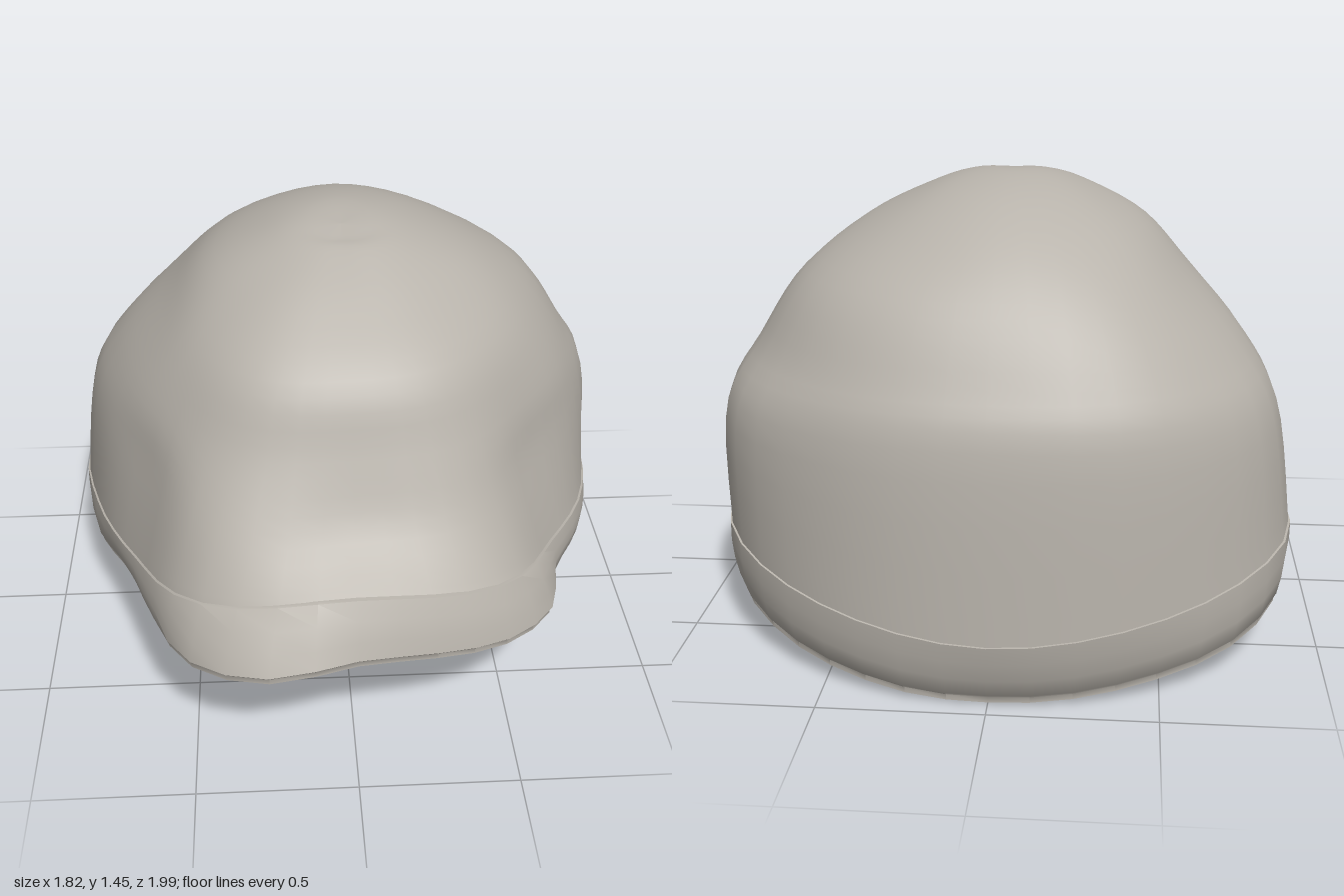
import * as THREE from 'three';
import { toCreasedNormals } from 'three/addons/utils/BufferGeometryUtils.js';

const COLS = 48;
const WALL = 0.022;

// Evenly spaced values around the cap, starting at the front and turning towards +x
const RIM = [0.955, 0.94, 0.94, 0.9, 0.8, 0.81, 0.86, 0.92, 0.98, 0.99, 0.98, 0.965,
  0.945, 0.965, 0.99, 1.02, 1.0, 0.92, 0.85, 0.79, 0.8, 0.88, 1.0, 1.03];
const RIM_Y = [0.435, 0.38, 0.32, 0.24, 0.15, 0.05, 0.0, 0.05, 0.15, 0.24, 0.32, 0.38];
const SEAM = [0.88, 0.88, 0.78, 0.86, 1.0, 1.01, 1.0, 1.03, 1.02, 0.85, 0.8, 0.92];
const SEAM_Y = [0.63, 0.57, 0.46, 0.41, 0.36, 0.27, 0.21, 0.27, 0.36, 0.41, 0.46, 0.57];

// Crown rings; lean raises the back of a ring and lowers its front
const CROWN = [
  { y: 0.75, lean: 0, r: [0.72, 0.74, 0.68, 0.8, 0.99, 0.985, 0.965, 1.0, 0.96, 0.8, 0.72, 0.81] },
  { y: 0.95, lean: 0, r: [0.62, 0.64, 0.64, 0.74, 0.87, 0.91, 0.89, 0.92, 0.84, 0.72, 0.67, 0.68] },
  { y: 1.15, lean: 0, r: [0.53, 0.54, 0.55, 0.61, 0.73, 0.79, 0.77, 0.76, 0.64, 0.56, 0.55, 0.57] },
  { y: 1.3, lean: 0, r: [0.33, 0.34, 0.37, 0.44, 0.51, 0.58, 0.61, 0.57, 0.48, 0.42, 0.38, 0.37] },
  { y: 1.4, lean: 0, r: [0.14, 0.16, 0.19, 0.23, 0.29, 0.37, 0.41, 0.36, 0.28, 0.23, 0.19, 0.16] },
  { y: 1.433, lean: 0.016, r: [0.07, 0.08, 0.09, 0.11, 0.13, 0.16, 0.18, 0.16, 0.13, 0.11, 0.09, 0.08] },
];
const POLE_Y = 1.435;

// Smooth periodic lookup in a ring table, u in 0..1
function around(table, u) {
  const n = table.length, f = u * n, i = Math.floor(f), t = f - i;
  const [a, b, c, d] = [-1, 0, 1, 2].map((k) => table[(i + k + n) % n]);
  return b + 0.5 * t * (c - a + t * (2 * a - 5 * b + 4 * c - d + t * (3 * (b - c) + d - a)));
}

// Closed skin through one [radius, height] profile per column
function skin(profileAt, flip = false) {
  const pos = [], idx = [];
  let rows = 0;
  for (let j = 0; j < COLS; j++) {
    const a = (j / COLS) * Math.PI * 2;
    const profile = profileAt(j / COLS);
    rows = profile.length;
    for (const [r, y] of profile) pos.push(Math.sin(a) * r, y, Math.cos(a) * r);
  }
  for (let j = 0; j < COLS; j++) {
    for (let i = 0; i < rows - 1; i++) {
      const a = j * rows + i, b = ((j + 1) % COLS) * rows + i;
      if (flip) idx.push(a, a + 1, b, b, a + 1, b + 1);
      else idx.push(a, b, a + 1, b, b + 1, a + 1);
    }
  }
  const g = new THREE.BufferGeometry();
  g.setAttribute('position', new THREE.Float32BufferAttribute(pos, 3));
  g.setIndex(idx);
  g.computeVertexNormals();
  return g;
}

// Spline from the given lower points up over the crown to the pole
function domeProfile(u, lower, inset) {
  const pts = lower.map(([r, y]) => new THREE.Vector2(r, y));
  for (const { y, lean, r } of CROWN) {
    const height = y - lean * Math.cos(u * Math.PI * 2);
    pts.push(new THREE.Vector2(Math.max(around(r, u) - inset, 0.03), height - inset * 0.8));
  }
  pts.push(new THREE.Vector2(0, POLE_Y - inset));
  return new THREE.SplineCurve(pts).getPoints(32).map((p) => [Math.max(p.x, 0), p.y]);
}

export function createModel() {
  const fabric = new THREE.MeshStandardMaterial({ color: 0xb8b3ab });
  fabric.name = 'warm grey fabric';
  const group = new THREE.Group();
  group.name = 'softCap';
  const add = (name, geometry) => {
    const mesh = new THREE.Mesh(geometry, fabric);
    mesh.name = name;
    group.add(mesh);
  };

  // Lumpy outer dome, tucked just behind the band
  add('crown', skin((u) => domeProfile(u,
    [[around(SEAM, u) - 0.006, around(SEAM_Y, u) - 0.005]], 0)));

  // Inner surface from the rim to the pole
  add('lining', skin((u) => domeProfile(u, [
    [around(RIM, u) - 0.03, around(RIM_Y, u) + 0.012],
    [around(SEAM, u) - WALL - 0.004, around(SEAM_Y, u)],
  ], WALL), true));

  // Brim band with a rolled lip below and a fine ledge at the seam
  const band = skin((u) => {
    const r = around(RIM, u), y = around(RIM_Y, u);
    const s = around(SEAM, u), sy = around(SEAM_Y, u);
    const wall = [0, 0.33, 0.67, 1].map((t) => [
      THREE.MathUtils.lerp(r, s, t) + 0.008 * Math.sin(Math.PI * t),
      THREE.MathUtils.lerp(y + 0.03, sy, t),
    ]);
    return [[r - 0.03, y + 0.012], [r - 0.024, y], [r - 0.01, y + 0.003],
      [r - 0.01, y + 0.02], ...wall, [s - 0.014, sy + 0.002]];
  });
  add('brimBand', toCreasedNormals(band, 0.8));

  return group;
}
